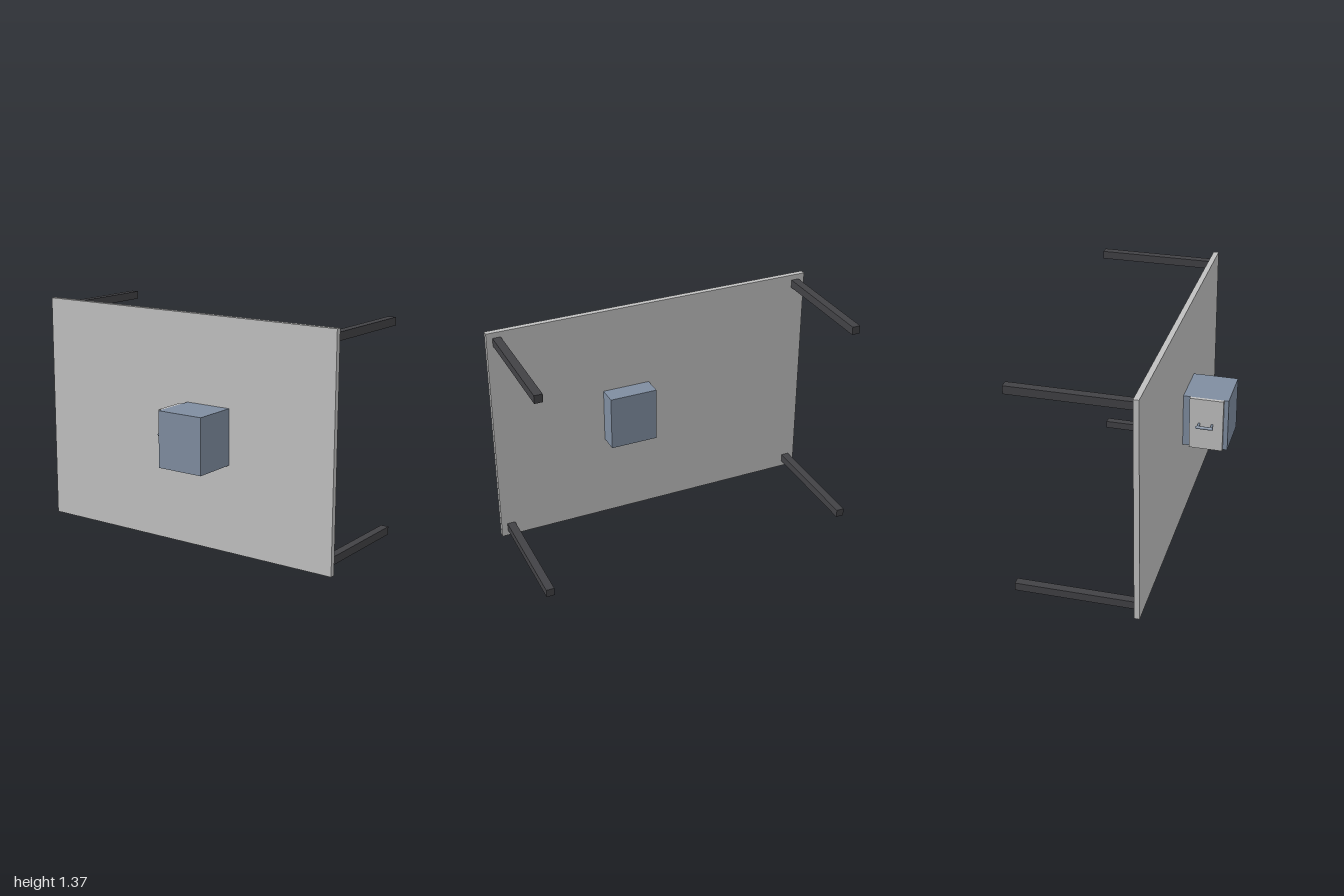
import * as THREE from 'three';

export function createModel() {
  const model = new THREE.Group();
  const material = (name, color) => {
    const m = new THREE.MeshStandardMaterial({ color });
    m.name = name;
    return m;
  };
  const paleGrey = material('pale grey', 0xc0c0c0);
  const slateBlue = material('slate blue', 0x7f8da0);
  const charcoal = material('charcoal', 0x414145);

  // Adds a box spanning two opposite corners
  function box(name, mat, [x0, y0, z0], [x1, y1, z1]) {
    const mesh = new THREE.Mesh(new THREE.BoxGeometry(x1 - x0, y1 - y0, z1 - z0), mat);
    mesh.position.set((x0 + x1) / 2, (y0 + y1) / 2, (z0 + z1) / 2);
    mesh.name = name;
    model.add(mesh);
  }

  // Upright panel
  box('panel', paleGrey, [-1, 0, 0.198], [1, 1.367, 0.23]);

  // Four square legs reaching back from the panel corners
  for (const x of [-0.94, 0.94]) {
    for (const y of [0.06, 1.31]) {
      box('leg', charcoal, [x - 0.024, y - 0.024, -0.5], [x + 0.024, y + 0.024, 0.198]);
    }
  }

  // Cabinet set through the panel, with a door on its right side
  box('cabinet', slateBlue, [0.03, 0.52, 0.083], [0.32, 0.85, 0.5]);
  box('door', paleGrey, [0.01, 0.52, 0.272], [0.03, 0.85, 0.473]);

  // Door handle: a round-ended bar on two posts
  const handle = new THREE.Group();
  handle.name = 'handle';
  handle.position.set(0, 0.686, 0.37);
  const bar = new THREE.Mesh(new THREE.CapsuleGeometry(0.009, 0.09, 6, 16), slateBlue);
  bar.name = 'handleBar';
  bar.rotation.x = Math.PI / 2;
  bar.position.x = -0.033;
  handle.add(bar);
  for (const z of [-0.039, 0.039]) {
    const post = new THREE.Mesh(new THREE.CylinderGeometry(0.007, 0.007, 0.043, 16), slateBlue);
    post.name = 'handlePost';
    post.rotation.z = Math.PI / 2;
    post.position.set(-0.0115, 0, z);
    handle.add(post);
  }
  model.add(handle);

  return model;
}
